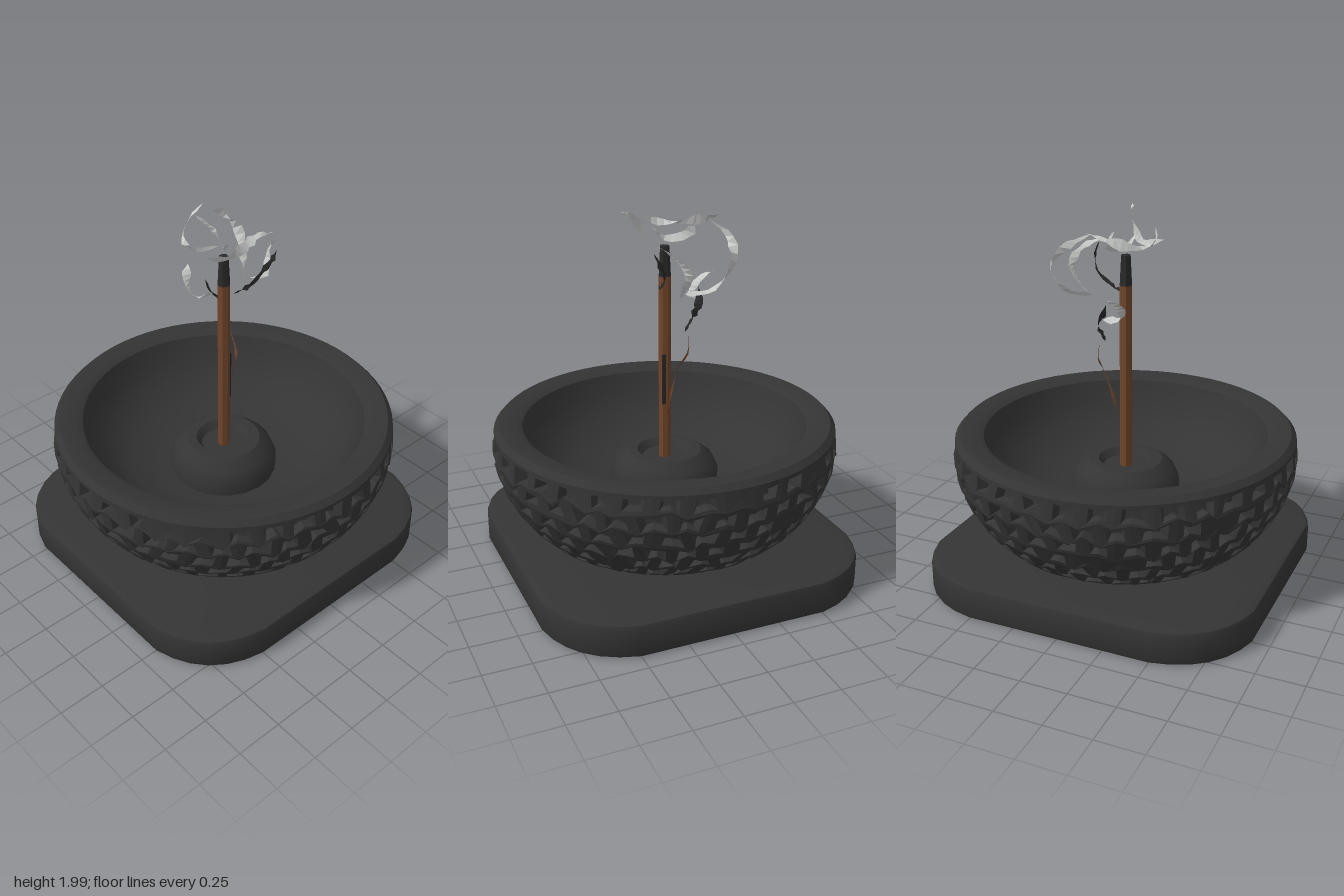
import * as THREE from 'three';
import { toCreasedNormals } from 'three/addons/utils/BufferGeometryUtils.js';

const V3 = (p) => new THREE.Vector3(...p);

function seeded(seed) {
  return () => {
    seed = (seed * 16807) % 2147483647;
    return seed / 2147483647;
  };
}

function meshFromTriangles(name, positions, material) {
  const g = new THREE.BufferGeometry();
  g.setAttribute('position', new THREE.Float32BufferAttribute(positions, 3));
  g.computeVertexNormals();
  const m = new THREE.Mesh(g, material);
  m.name = name;
  return m;
}

// Outer bowl wall: staggered six-cornered cells, most with a carved pit
function pittedWall(profile, material) {
  const rand = seeded(77), cols = 34, rows = 7, n = cols * 2;
  const curve = new THREE.CatmullRomCurve3(profile.map(([r, y]) => new THREE.Vector3(r, y, 0)));
  const surface = (k, v) => {
    const p = curve.getPointAt(v), a = (k / n) * Math.PI * 2;
    return new THREE.Vector3(Math.sin(a) * p.x, p.y, Math.cos(a) * p.x);
  };
  const grid = [];
  for (let r = 0; r <= rows; r++) {
    const edge = r === 0 || r === rows;
    grid.push(Array.from({ length: n }, (_, k) => {
      const dk = edge ? 0 : (rand() - 0.5) * 0.7;
      const zig = edge ? 0 : ((k + r) % 2 ? 0.15 : -0.15) + (rand() - 0.5) * 0.4;
      return surface(k + dk, (r + zig) / rows);
    }));
  }
  const out = [], core = new THREE.Vector3(0, 0.65, 0);
  const tri = (...pts) => pts.forEach((p) => out.push(p.x, p.y, p.z));
  for (let r = 0; r < rows; r++) {
    for (let c = 0; c < cols; c++) {
      const k = c * 2 + (r % 2);
      const outer = [[k, r], [k + 1, r], [k + 2, r], [k + 2, r + 1], [k + 1, r + 1], [k, r + 1]]
        .map(([i, j]) => grid[j][i % n]);
      const mid = outer.reduce((s, p) => s.add(p), new THREE.Vector3()).divideScalar(6);
      const size = 0.5 + rand() * 0.22;
      const depth = rand() < 0.1 ? 0 : 0.04 + rand() * 0.03;
      const lip = outer.map((p) => mid.clone().lerp(p, size * (0.85 + rand() * 0.3)));
      const floorMid = mid.clone().lerp(core, depth);
      const floor = lip.map((p) => mid.clone().lerp(p, 0.65).lerp(core, depth));
      for (let i = 0; i < 6; i++) {
        const j = (i + 1) % 6;
        tri(outer[i], outer[j], lip[j]);
        tri(outer[i], lip[j], lip[i]);
        tri(lip[i], lip[j], floor[j]);
        tri(lip[i], floor[j], floor[i]);
        tri(floor[i], floor[j], floorMid);
      }
    }
  }
  return meshFromTriangles('pittedBowlWall', out, material);
}

function lathe(name, profile, segments, material) {
  const g = new THREE.LatheGeometry(profile.map(([r, y]) => new THREE.Vector2(r, y)), segments);
  const m = new THREE.Mesh(toCreasedNormals(g, 0.6), material);
  m.name = name;
  return m;
}

// Ragged, twisting ribbon along a path, tapered at both ends
function ribbon(name, points, width, material, seed) {
  const rand = seeded(seed), curve = new THREE.CatmullRomCurve3(points.map(V3));
  const steps = points.length * 3, out = [];
  let last = null;
  for (let i = 0; i <= steps; i++) {
    const t = i / steps, p = curve.getPointAt(t), tan = curve.getTangentAt(t);
    const side = new THREE.Vector3(Math.cos(t * 4 + seed), 0.4, Math.sin(t * 4 + seed))
      .cross(tan).normalize();
    const w = width * Math.pow(Math.sin(Math.PI * t), 0.6) * (0.3 + 0.7 * rand());
    const pair = [p.clone().addScaledVector(side, w / 2), p.clone().addScaledVector(side, -w / 2)];
    if (last) {
      [last[0], last[1], pair[1], last[0], pair[1], pair[0]].forEach((q) => out.push(q.x, q.y, q.z));
    }
    last = pair;
  }
  return meshFromTriangles(name, out, material);
}

export function createModel() {
  const mat = (name, color, extra = {}) => {
    const m = new THREE.MeshStandardMaterial({ color, ...extra });
    m.name = name;
    return m;
  };
  const stone = mat('darkStone', 0x343434, { flatShading: true });
  const smoothStone = mat('smoothDarkStone', 0x343434);
  const wood = mat('brownWood', 0x70452b, { flatShading: true, side: THREE.DoubleSide });
  const char = mat('charredBlack', 0x292929, { flatShading: true, side: THREE.DoubleSide });
  const smoke = mat('paleSmoke', 0xc8cac8, { flatShading: true, side: THREE.DoubleSide });
  const model = new THREE.Group();
  model.name = 'incenseBowl';

  // Rounded square plinth
  const b = 0.025, x = 0.915 - b, z = 0.885 - b, e = 0.5;
  const s = new THREE.Shape();
  s.moveTo(-e, -z);
  s.lineTo(e, -z);
  s.quadraticCurveTo(x - 0.07, -z + 0.05, x, -e);
  s.lineTo(x, e);
  s.quadraticCurveTo(x - 0.07, z - 0.05, e, z);
  s.lineTo(-e, z);
  s.quadraticCurveTo(-x + 0.07, z - 0.05, -x, e);
  s.lineTo(-x, -e);
  s.quadraticCurveTo(-x + 0.07, -z + 0.05, -e, -z);
  const plinthGeo = new THREE.ExtrudeGeometry(s, {
    depth: 0.185 - 2 * b, bevelSize: b, bevelThickness: b, bevelSegments: 2, curveSegments: 6,
  });
  plinthGeo.rotateX(-Math.PI / 2).translate(0, b + 0.005, 0);
  const plinth = new THREE.Mesh(toCreasedNormals(plinthGeo, 0.5), smoothStone);
  plinth.name = 'plinth';
  model.add(plinth);

  // Bowl: smooth foot, pitted wall, rim with hollow inside
  model.add(lathe('bowlFoot', [[0, 0.18], [0.54, 0.18], [0.62, 0.215]], 68, smoothStone));
  model.add(pittedWall([[0.62, 0.215], [0.71, 0.27], [0.81, 0.38], [0.88, 0.5],
    [0.925, 0.64], [0.93, 0.73], [0.918, 0.81]], stone));
  model.add(lathe('bowlRimAndHollow', [[0.918, 0.81], [0.89, 0.84], [0.8, 0.838], [0.765, 0.82],
    [0.73, 0.72], [0.65, 0.6], [0.52, 0.51], [0.36, 0.465], [0, 0.455]], 68, smoothStone));

  // Round holder with a sunken centre
  model.add(lathe('stickHolder', [[0.29, 0.45], [0.295, 0.53], [0.265, 0.6], [0.2, 0.65],
    [0.15, 0.65], [0.12, 0.61], [0, 0.605]], 20, smoothStone));

  // Incense stick with burnt tip and a scorched strip
  const rod = (name, r0, r1, y0, y1, material) => {
    const m = new THREE.Mesh(new THREE.CylinderGeometry(r1, r0, y1 - y0, 7), material);
    m.position.y = (y0 + y1) / 2;
    m.name = name;
    model.add(m);
  };
  rod('stick', 0.034, 0.033, 0.58, 1.62, wood);
  rod('burntTip', 0.033, 0.025, 1.62, 1.78, char);
  const scorch = new THREE.Mesh(new THREE.BoxGeometry(0.008, 0.28, 0.02), char);
  scorch.position.set(0.028, 1.06, 0.015);
  scorch.name = 'scorchMark';
  model.add(scorch);

  // Curling wisps
  const wisps = [
    ['thinWisp', 0.022, wood, [[0.03, 0.85, 0], [0.07, 1, -0.01], [0.115, 1.15, -0.03],
      [0.125, 1.23, -0.08], [0.11, 1.32, -0.09]]],
    ['lowerDarkWisp', 0.06, char, [[0.08, 1.33, -0.08], [0.1, 1.42, -0.12], [0.06, 1.48, -0.17],
      [0.03, 1.56, -0.18]]],
    ['lowerSmoke', 0.08, smoke, [[0.06, 1.47, -0.16], [-0.05, 1.49, -0.17], [-0.06, 1.56, -0.22],
      [0, 1.62, -0.28]]],
    ['upperDarkWisp', 0.05, char, [[0.03, 1.57, 0.04], [0.12, 1.6, 0.07], [0.2, 1.66, 0.08],
      [0.23, 1.74, 0.12], [0.22, 1.8, 0.15]]],
    ['rightSmoke', 0.07, smoke, [[0.17, 1.56, -0.04], [0.27, 1.6, -0.15], [0.31, 1.74, -0.24],
      [0.22, 1.85, -0.26], [0.1, 1.92, -0.2]]],
    ['rightInnerSmoke', 0.07, smoke, [[0.2, 1.57, -0.03], [0.26, 1.58, 0.02], [0.31, 1.7, 0],
      [0.28, 1.78, 0.06], [0.18, 1.83, 0.12]]],
    ['topSmoke', 0.07, smoke, [[0.1, 1.94, -0.27], [-0.02, 1.9, -0.24], [-0.13, 1.86, -0.16],
      [-0.17, 1.87, -0.02], [-0.12, 1.92, 0.1]]],
    ['frontSmoke', 0.07, smoke, [[-0.18, 1.86, 0.07], [-0.05, 1.83, 0.1], [0.02, 1.9, 0.15],
      [0.05, 1.96, 0.2], [0.08, 1.99, 0.27]]],
    ['innerSmoke', 0.07, smoke, [[-0.02, 1.94, -0.19], [0.05, 1.85, -0.12], [0, 1.82, 0],
      [-0.03, 1.88, 0.06]]],
  ];
  wisps.forEach(([name, width, material, path], i) => {
    model.add(ribbon(name, path, width, material, i + 3));
  });
  return model;
}
